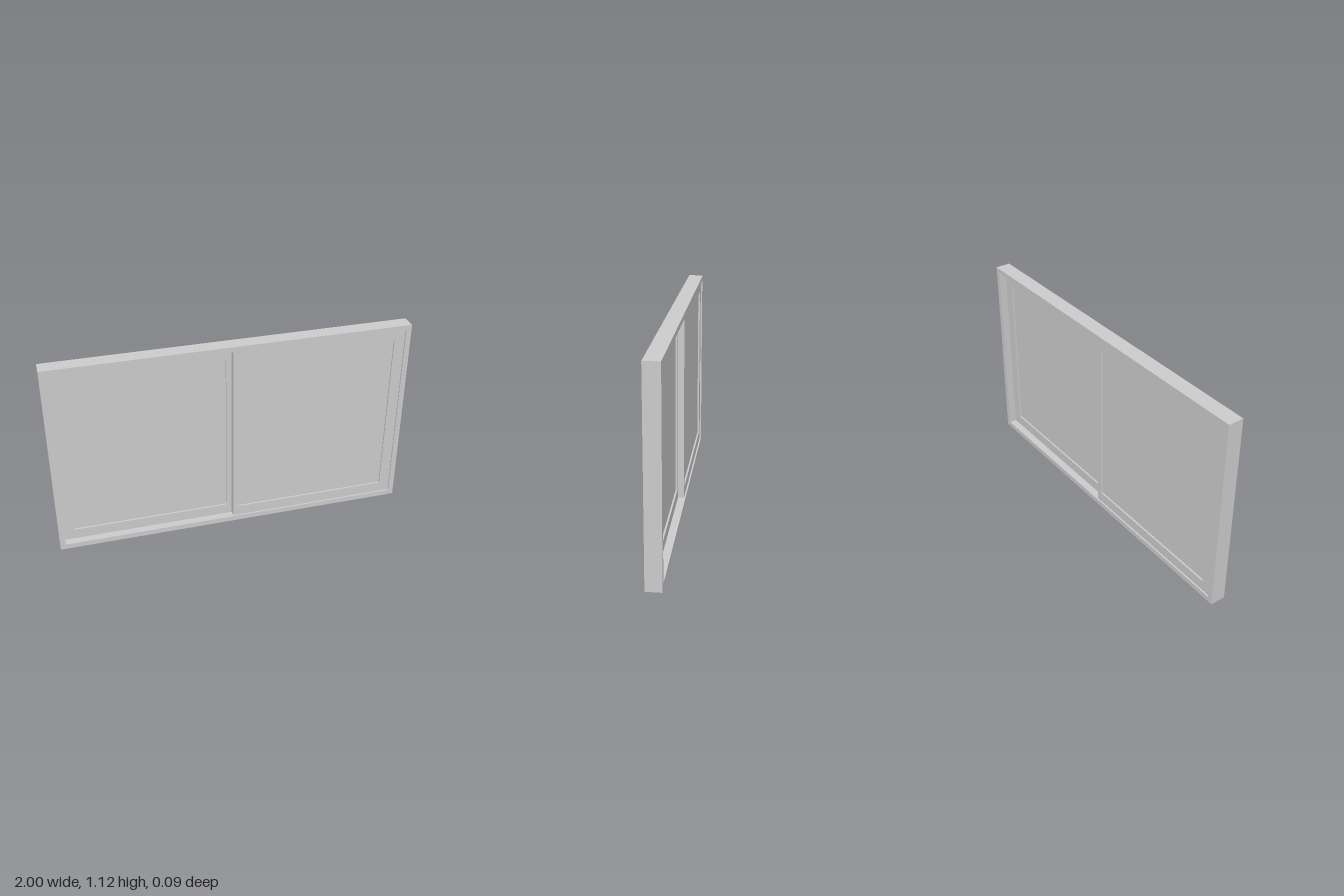
import * as THREE from 'three';

const material = new THREE.MeshStandardMaterial({ color: 0xcccccc });

// Trace a rectangle onto a shape or hole path
function rect(path, x0, y0, x1, y1) {
  path.moveTo(x0, y0);
  path.lineTo(x1, y0);
  path.lineTo(x1, y1);
  path.lineTo(x0, y1);
  path.closePath();
  return path;
}

// Rectangular frame with one opening, extruded from z0 to z1
function frame(name, outer, inner, z0, z1) {
  const shape = rect(new THREE.Shape(), ...outer);
  shape.holes.push(rect(new THREE.Path(), ...inner));
  const geometry = new THREE.ExtrudeGeometry(shape, { depth: z1 - z0, bevelEnabled: false });
  geometry.translate(0, 0, z0);
  const mesh = new THREE.Mesh(geometry, material);
  mesh.name = name;
  return mesh;
}

// Sliding sash with its pane, on the +x side of the front track
function sash(name) {
  const group = new THREE.Group();
  group.name = name;
  group.add(frame(name + 'Frame', [0, 0.03, 0.97, 1.095], [0.03, 0.09, 0.91, 1.036], 0, 0.034));
  const pane = new THREE.Mesh(new THREE.BoxGeometry(0.88, 0.946, 0.014), material);
  pane.name = name + 'Pane';
  pane.position.set(0.47, 0.563, 0.017);
  group.add(pane);
  return group;
}

export function createModel() {
  const model = new THREE.Group();
  model.name = 'slidingWindow';

  // Fixed outer frame
  model.add(frame('outerFrame', [-1, 0, 1, 1.125], [-0.97, 0.03, 0.97, 1.095], -0.043, 0.043));

  // Front sash, and the rear sash turned half round onto the back track
  const rear = sash('rearSash');
  rear.rotation.y = Math.PI;
  model.add(sash('frontSash'), rear);

  return model;
}
